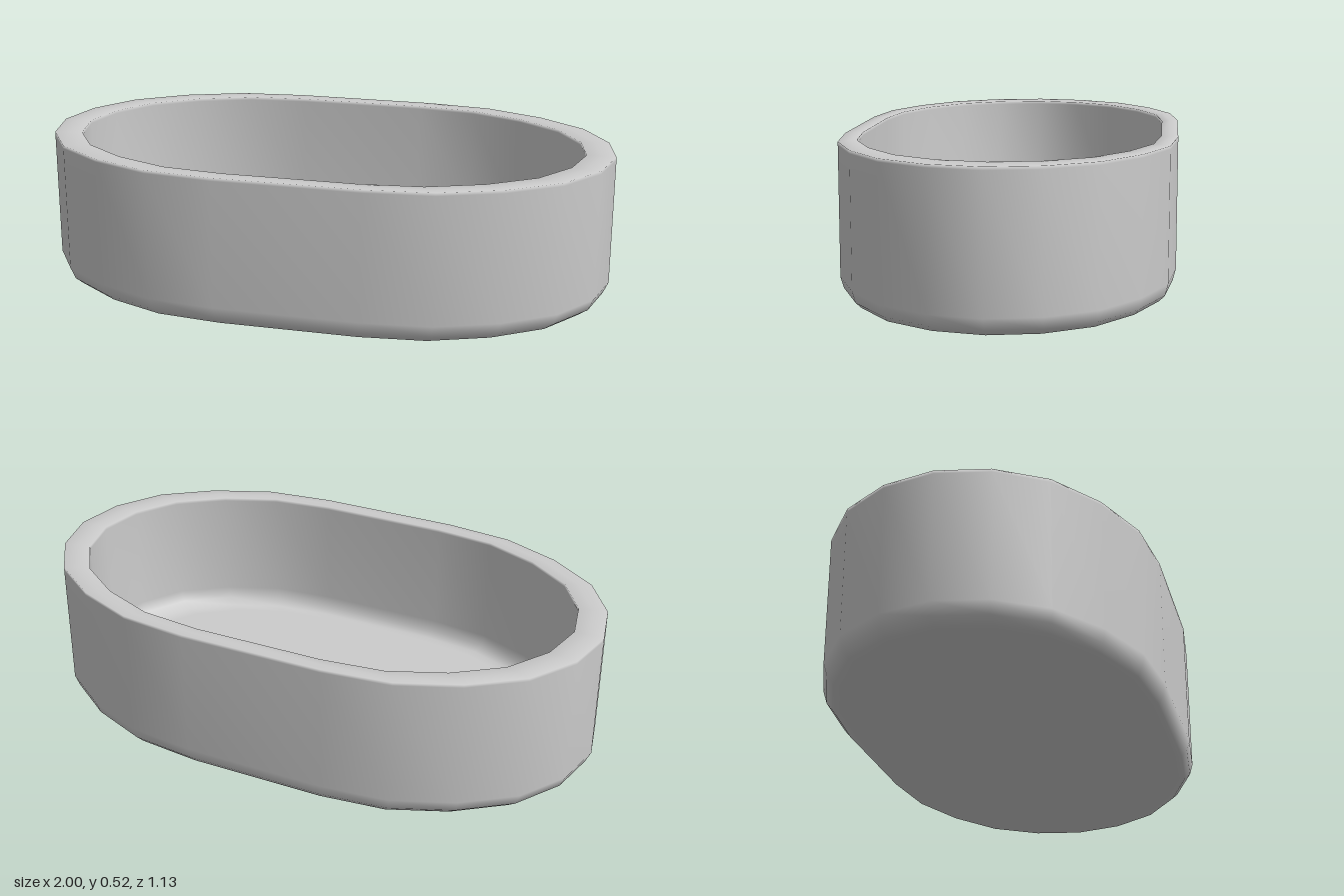
import * as THREE from 'three';

// One quarter of the oval outline, from the +x tip towards +z.
const quarter = [[1, 0], [0.963, 0.175], [0.86, 0.335], [0.69, 0.457], [0.485, 0.54], [0.25, 0.566]];

function ovalOutline() {
  const side = quarter.slice(1);
  const back = side.map(([x, z]) => [-x, z]).reverse();
  const upper = [...side, ...back];
  return [quarter[0], ...upper, [-1, 0], ...upper.map(([x, z]) => [-x, -z])];
}

// Sweeps a [scale, height] profile around the outline.
function sweepOutline(outline, profile) {
  const n = outline.length;
  const positions = [];
  const index = [];
  for (const [scale, y] of profile) {
    for (const [x, z] of outline) positions.push(x * scale, y, z * scale);
  }
  for (let i = 0; i < profile.length - 1; i++) {
    for (let j = 0; j < n; j++) {
      const k = (j + 1) % n;
      const a = i * n + j, b = i * n + k;
      const c = a + n, d = b + n;
      if (profile[i + 1][0] > 0) index.push(a, c, d);
      if (profile[i][0] > 0) index.push(a, d, b);
    }
  }
  const geometry = new THREE.BufferGeometry();
  geometry.setAttribute('position', new THREE.Float32BufferAttribute(positions, 3));
  geometry.setIndex(index);
  geometry.computeVertexNormals();
  return geometry;
}

export function createModel() {
  const group = new THREE.Group();
  group.name = 'ovalTub';

  const profile = [
    // underside and rounded foot
    [0, 0], [0.9, 0], [0.95, 0.003], [0.982, 0.025], [1, 0.065],
    // outer wall, flat rim, inner wall
    [1, 0.505], [1, 0.516], [0.95, 0.516], [0.9, 0.516], [0.9, 0.505],
    // rounded inner corner and floor
    [0.9, 0.125], [0.885, 0.085], [0.85, 0.063], [0.8, 0.06], [0, 0.06],
  ];

  const material = new THREE.MeshStandardMaterial({ color: 0xcccccc });
  const tub = new THREE.Mesh(sweepOutline(ovalOutline(), profile), material);
  tub.name = 'tubShell';
  group.add(tub);
  return group;
}
